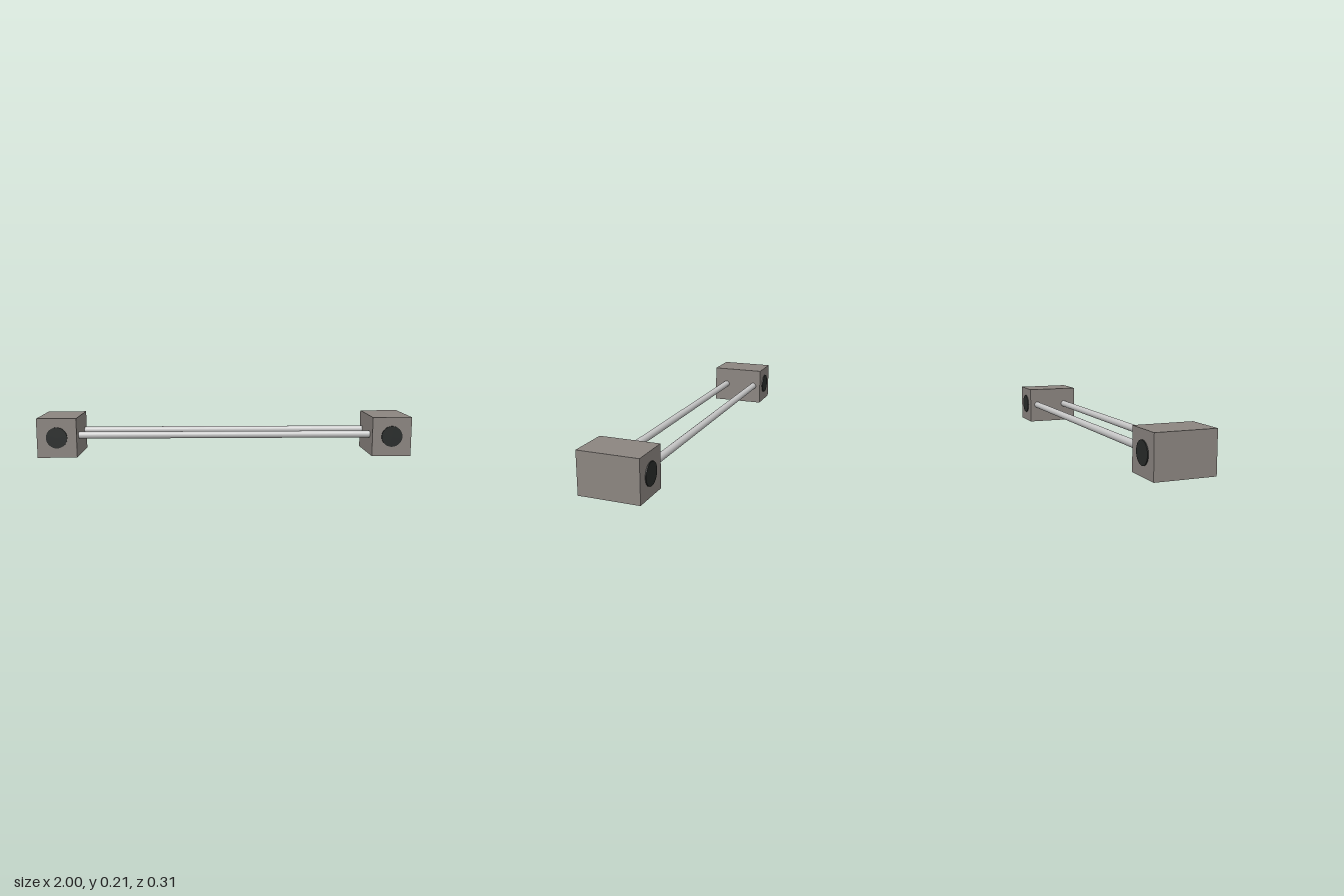
import * as THREE from 'three';

export function createModel() {
  const group = new THREE.Group();
  const material = (name, color) => {
    const m = new THREE.MeshStandardMaterial({ color });
    m.name = name;
    return m;
  };
  const stone = material('warm grey', 0x8b8580);
  const dark = material('charcoal', 0x282b2a);
  const metal = material('light metal', 0xc8c8c8);

  const add = (name, geometry, mat, x, y, z) => {
    const mesh = new THREE.Mesh(geometry, mat);
    mesh.name = name;
    mesh.position.set(x, y, z);
    group.add(mesh);
  };

  // End blocks, each with a round disc on its front and back
  const block = new THREE.BoxGeometry(0.21, 0.21, 0.302);
  const disc = new THREE.CylinderGeometry(0.056, 0.056, 0.01, 32).rotateX(Math.PI / 2);
  for (const [side, s] of [['left', 1], ['right', -1]]) {
    add(`${side}Block`, block, stone, s * 0.895, 0.105, 0);
    add(`${side}FrontDisc`, disc, dark, s * 0.895, 0.107, 0.151);
    add(`${side}BackDisc`, disc, dark, s * 0.895, 0.107, -0.151);
  }

  // Two rods joining the blocks, set slightly towards the back
  const rod = new THREE.CylinderGeometry(0.019, 0.019, 1.6, 24).rotateZ(Math.PI / 2);
  add('frontRod', rod, metal, 0, 0.109, 0.077);
  add('backRod', rod, metal, 0, 0.109, -0.106);

  return group;
}
